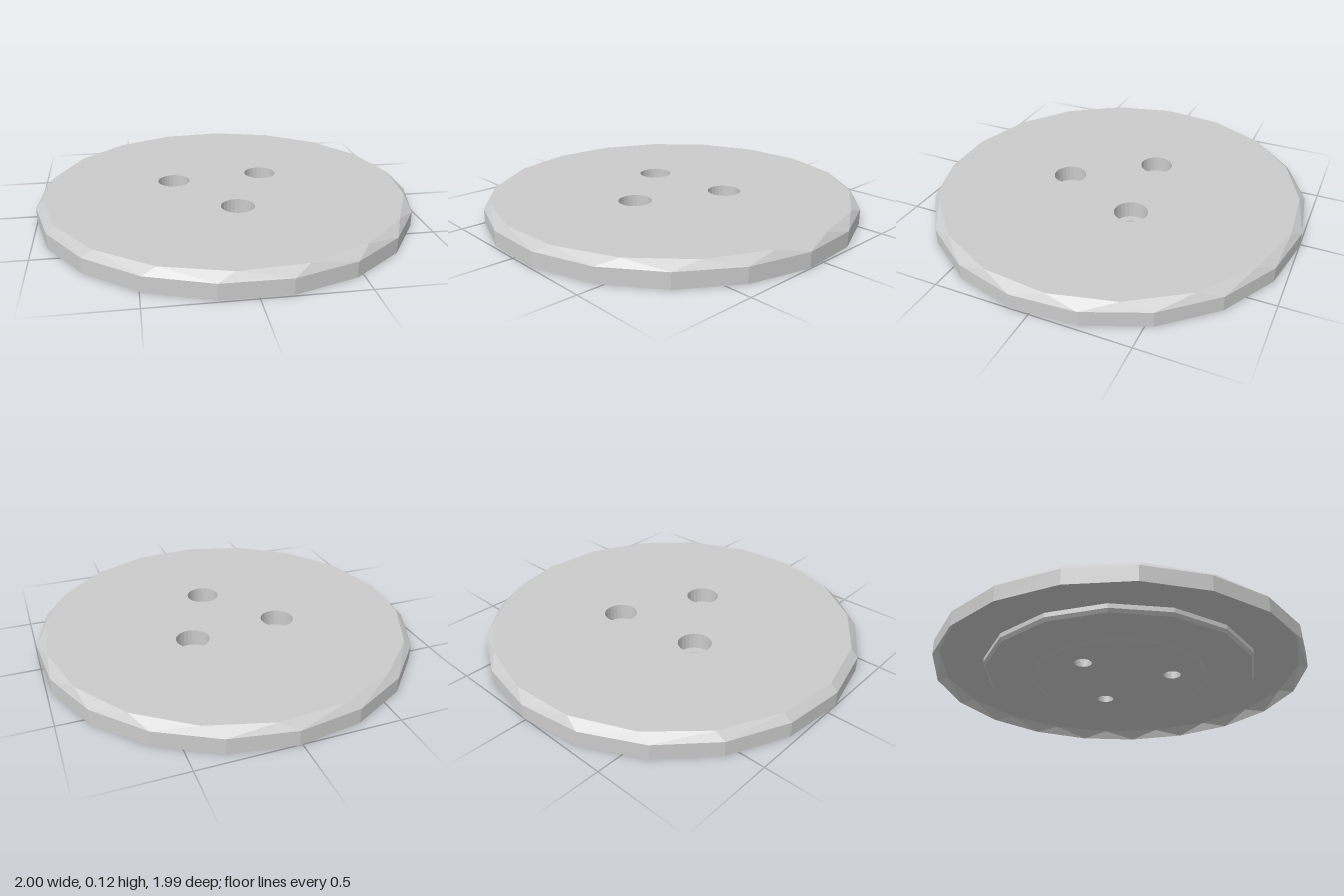
import * as THREE from 'three';

const RAD = Math.PI / 180;
const material = new THREE.MeshStandardMaterial({ color: 0xcccccc, flatShading: true });
const smooth = new THREE.MeshStandardMaterial({ color: 0xcccccc });
const HOLES = [[-0.265, -0.115], [0.233, -0.167], [0.028, 0.288]];

// Horizontal regular polygon: n corners, radius r, height y, first corner at "start" degrees
const ring = (n, r, y, start = 0, cx = 0, cz = 0) => ({ n, r, y, start, cx, cz });
const angle = (g, i) => (g.start + (i * 360) / g.n) * RAD;
const corner = (g, i) => [g.cx + g.r * Math.sin(angle(g, i)), g.y, g.cz - g.r * Math.cos(angle(g, i))];

// Triangle band between two rings, which may differ in corner count.
// Faces outward when the lower ring comes first, inward when it comes second.
function band(a, b) {
  const pos = [];
  let i = 0, j = 0;
  while (i < a.n || j < b.n) {
    const stepA = j >= b.n || (i < a.n && angle(a, i + 1) <= angle(b, j + 1));
    pos.push(...corner(a, i), ...corner(b, j));
    if (stepA) pos.push(...corner(a, ++i));
    else pos.push(...corner(b, ++j));
  }
  const geo = new THREE.BufferGeometry();
  geo.setAttribute('position', new THREE.Float32BufferAttribute(pos, 3));
  geo.computeVertexNormals();
  return geo;
}

// Flat polygon with holes, facing up or down
function flat(outer, holes, up) {
  const points = (g) => Array.from({ length: g.n }, (_, i) => {
    const [x, , z] = corner(g, i);
    return new THREE.Vector2(x, up ? -z : z);
  });
  const shape = new THREE.Shape(points(outer));
  holes.forEach((h) => shape.holes.push(new THREE.Path(points(h))));
  return new THREE.ShapeGeometry(shape).rotateX(up ? -Math.PI / 2 : Math.PI / 2).translate(0, outer.y, 0);
}

export function createModel() {
  const group = new THREE.Group();
  const add = (name, geo, mat = material) => {
    const mesh = new THREE.Mesh(geo, mat);
    mesh.name = name;
    group.add(mesh);
  };
  const holeRings = (r, y) => HOLES.map(([x, z]) => ring(24, r, y, 0, x, z));

  // Rim wall, bevel and top plate
  const foot = ring(19, 1.003, 0, 0.8);
  const shoulder = ring(19, 1.003, 0.08, 0.8);
  const top = ring(18, 0.965, 0.118, 6);
  add('rimWall', band(foot, shoulder));
  add('rimBevel', band(shoulder, top));
  add('topPlate', flat(top, holeRings(0.088, 0.118), true));

  // Underside: recessed face inside the rim
  const recess = ring(18, 0.97, 0.048, 6);
  const stepBase = ring(15, 0.742, 0.048, -8);
  add('innerRim', band(recess, foot));
  add('undersideRecess', flat(recess, [stepBase], false));

  // Bevelled step, then a shallow boss in its middle
  const stepEdge = ring(15, 0.742, 0.024, -8);
  const stepFace = ring(15, 0.73, 0.007, -8);
  const bossBase = ring(12, 0.488, 0.007, 12);
  const bossFace = ring(12, 0.472, 0, 12);
  add('stepWall', band(stepEdge, stepBase));
  add('stepBevel', band(stepFace, stepEdge));
  add('stepFace', flat(stepFace, [bossBase], false));
  add('bossBevel', band(bossFace, bossBase));
  add('bossFace', flat(bossFace, holeRings(0.047, 0), false));

  // Three counterbored screw holes
  HOLES.forEach(([x, z]) => {
    const at = (r, y) => ring(24, r, y, 0, x, z);
    add('counterboreWall', band(at(0.088, 0.118), at(0.088, 0.03)));
    add('counterboreSeat', flat(at(0.088, 0.03), [at(0.047, 0.03)], true), smooth);
    add('screwHoleWall', band(at(0.047, 0.03), at(0.047, 0)));
  });
  return group;
}
